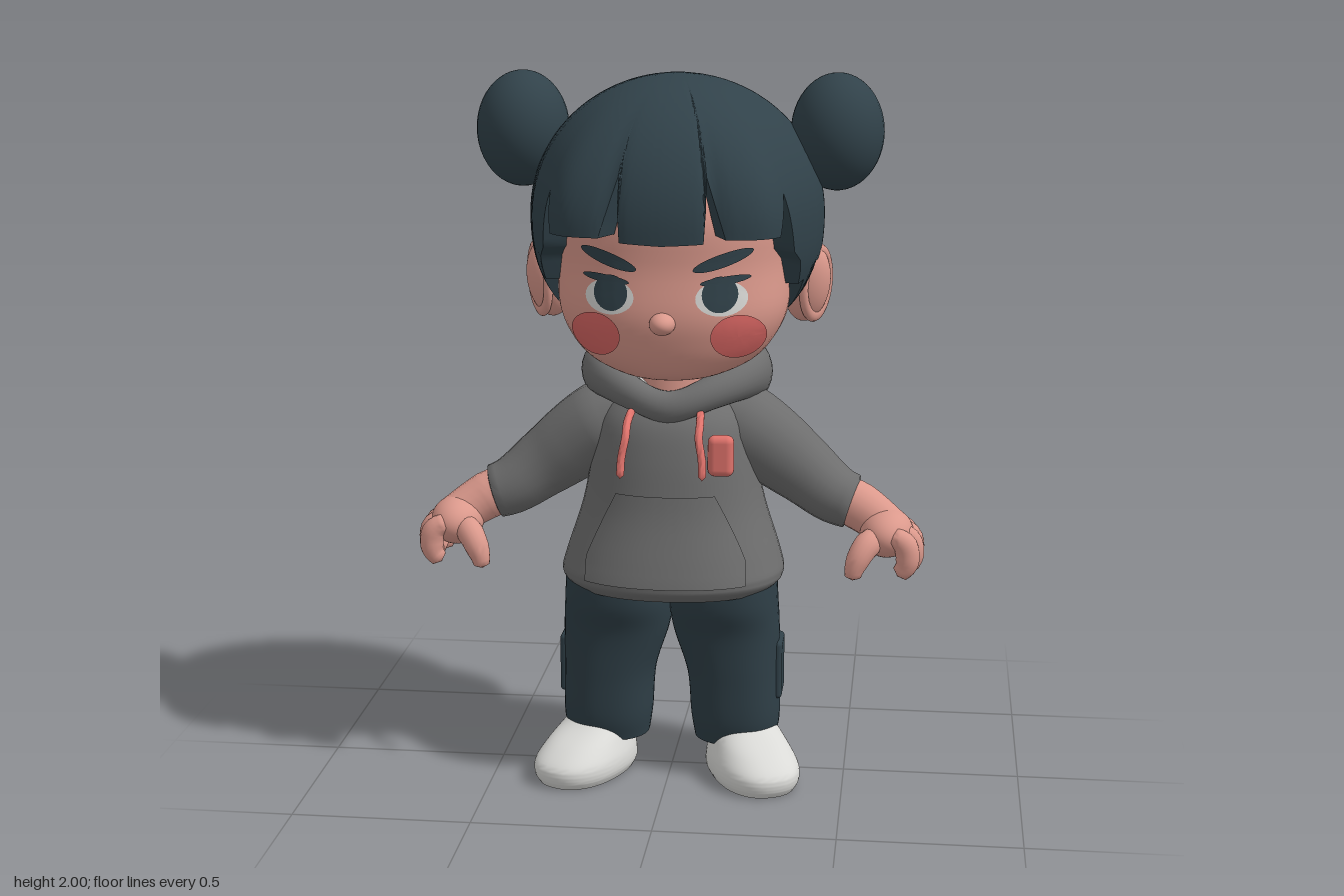
import * as THREE from 'three';
import { toCreasedNormals } from 'three/addons/utils/BufferGeometryUtils.js';
import { RoundedBoxGeometry } from 'three/addons/geometries/RoundedBoxGeometry.js';

const material = (name, color) => {
  const m = new THREE.MeshStandardMaterial({ color });
  m.name = name;
  return m;
};

// Surface closed around y: f(angle, v) returns a point, v rising from 0 to 1
function grid(nu, nv, f) {
  const pos = [], idx = [];
  for (let i = 0; i <= nv; i++)
    for (let j = 0; j < nu; j++) pos.push(...f((j / nu) * Math.PI * 2, i / nv, i));
  for (let i = 0; i < nv; i++)
    for (let j = 0; j < nu; j++) {
      const k = (j + 1) % nu, a = i * nu + j, b = i * nu + k, c = a + nu, d = b + nu;
      idx.push(a, b, d, a, d, c);
    }
  const g = new THREE.BufferGeometry();
  g.setAttribute('position', new THREE.Float32BufferAttribute(pos, 3));
  g.setIndex(idx);
  return toCreasedNormals(g, 1.0);
}

const power = (x, n) => Math.sign(x) * Math.pow(Math.abs(x), n);

// Smooth stack of rings [y, centreX, halfWidth, frontZ, backZ], closed at both ends
function loft(rows, roundness = 2, nv = 30) {
  const spline = new THREE.CubicInterpolant(rows.map((_, i) => i), rows.flat(), 5);
  return grid(48, nv + 2, (u, v, i) => {
    const t = THREE.MathUtils.clamp((i - 1) / nv, 0, 1) * (rows.length - 1);
    const [y, cx, rx, zf, zb] = spline.evaluate(t);
    const k = i === 0 || i === nv + 2 ? 0 : 1, e = 2 / roundness;
    return [cx + k * rx * power(Math.sin(u), e), y, (zf + zb) / 2 + k * ((zf - zb) / 2) * power(Math.cos(u), e)];
  });
}

// Tube along points, with a radius that changes along its length
function sweep(points, radii, n = 24) {
  const m = 18, curve = new THREE.CatmullRomCurve3(points.map(p => new THREE.Vector3(...p)));
  const g = new THREE.TubeGeometry(curve, n, 1, m), p = g.attributes.position, v = new THREE.Vector3();
  for (let i = 0; i <= n; i++) {
    const c = curve.getPointAt(i / n), t = (i / n) * (radii.length - 1);
    const a = Math.min(Math.floor(t), radii.length - 2);
    const r = i === 0 || i === n ? 0 : THREE.MathUtils.lerp(radii[a], radii[a + 1], t - a);
    for (let j = 0; j <= m; j++) {
      const k = i * (m + 1) + j;
      v.fromBufferAttribute(p, k).sub(c).multiplyScalar(r).add(c);
      p.setXYZ(k, v.x, v.y, v.z);
    }
  }
  return toCreasedNormals(g, 1.2);
}

// Lay a flat patch on the front of a mesh
function drape(g, target, offset) {
  const p = g.attributes.position, ray = new THREE.Raycaster();
  for (let i = 0; i < p.count; i++) {
    ray.set(new THREE.Vector3(p.getX(i), p.getY(i), 2), new THREE.Vector3(0, 0, -1));
    const hit = ray.intersectObject(target)[0];
    p.setZ(i, (hit ? hit.point.z : 0) + offset);
  }
  g.computeVertexNormals();
  return g;
}

const oval = (x, y, rx, ry, tilt = 0) =>
  new THREE.RingGeometry(0.0001, 1, 32, 5).scale(rx, ry, 1).rotateZ(tilt).translate(x, y, 0);

export function createModel() {
  const model = new THREE.Group();
  const hair = material('dark slate', 0x31424a), skin = material('skin', 0xdb998c);
  const grey = material('hoodie grey', 0x6e6e6e), white = material('off white', 0xdadad7);
  const blush = material('blush', 0xdc6865), coral = material('coral', 0xe0736c);
  const slate = material('trouser slate', 0x2f3f47);
  const add = (name, geometry, mat, x = 0, y = 0, z = 0) => {
    const mesh = new THREE.Mesh(geometry, mat);
    mesh.name = name;
    mesh.position.set(x, y, z);
    model.add(mesh);
    return mesh;
  };
  const ball = (rx, ry, rz) => new THREE.SphereGeometry(1, 32, 24).scale(rx, ry, rz);
  const HX = 0.015; // the head sits slightly off centre

  // Head, nose and neck
  const head = add('head', loft([
    [1.185, HX, 0.06, 0.19, 0.02], [1.2, HX, 0.14, 0.25, -0.04], [1.24, HX, 0.225, 0.285, -0.08],
    [1.3, HX, 0.28, 0.31, -0.12], [1.38, HX, 0.315, 0.325, -0.17], [1.5, HX, 0.325, 0.315, -0.25],
    [1.65, HX, 0.33, 0.31, -0.3], [1.8, HX, 0.24, 0.22, -0.24], [1.87, HX, 0.1, 0.1, -0.1]], 2.2, 40), skin);
  head.updateMatrixWorld();
  add('nose', ball(0.035, 0.03, 0.045), skin, 0.01, 1.365, 0.325);
  add('neck', new THREE.CylinderGeometry(0.11, 0.12, 0.22, 32), skin, 0.01, 1.14, 0.02);

  // Hair cap: the lower edge follows [degrees from the front, height]
  const edge = [[0, 1.585], [16, 1.59], [18, 1.76], [24, 1.6], [45, 1.6], [49, 1.71], [56, 1.55], [62, 1.52],
    [66, 1.45], [70, 1.46], [74, 1.37], [80, 1.5], [100, 1.52], [104, 1.4], [114, 1.32], [125, 1.29], [180, 1.285]];
  const edgeAt = d => {
    const k = Math.max(1, edge.findIndex(e => e[0] >= d - 1e-6)), [a, ya] = edge[k - 1], [b, yb] = edge[k];
    return THREE.MathUtils.mapLinear(d, a, b, ya, yb);
  };
  const bump = (d, c, w) => Math.exp(-(((d - c) / w) ** 2));
  add('hair', grid(360, 30, (u, v, i) => {
    const d = THREE.MathUtils.radToDeg(Math.min(u, Math.PI * 2 - u)), yb = edgeAt(d);
    const t0 = (yb - 1.62) / (yb > 1.62 ? 0.38 : 0.36);
    const phi = Math.acos(t0) * (1 - Math.max(0, i - 1) / 29), c = Math.cos(phi);
    let r = c > 0 ? Math.sin(phi) : Math.pow(1 - Math.pow(-c, 2.4), 1 / 2.4);
    r *= 1 + r ** 4 * (0.09 * bump(d, 38, 13) - 0.03 * bump(d, 20, 4));
    if (i === 0) r *= 0.8;
    return [HX + 0.405 * r * Math.sin(u), 1.62 + c * (c > 0 ? 0.38 : 0.36), 0.41 * r * Math.cos(u)];
  }), hair);

  // Flat face details
  const onFace = (name, geometry, mat, offset) => add(name, drape(geometry, head, offset), mat);
  for (const s of [-1, 1]) {
    const side = s > 0 ? 'left' : 'right', ex = HX + s * 0.15;
    onFace(side + 'EyeWhite', oval(ex, 1.432, 0.068, 0.047), white, 0.003);
    onFace(side + 'Iris', oval(ex - s * 0.004, 1.443, 0.047, 0.048), hair, 0.006);
    onFace(side + 'Lash', oval(ex + s * 0.01, 1.48, 0.066, 0.011, s * 0.12), hair, 0.008);
    onFace(side + 'Brow', oval(ex + s * 0.003, 1.533, 0.082, 0.018, s * 0.32), hair, 0.009);
    onFace(side + 'Blush', oval(HX + s * 0.193, 1.325, 0.072, 0.062), blush, 0.005);

    // Ear with a raised rim, and hair bun
    const ear = add(side + 'Ear', ball(0.065, 0.11, 0.055), skin, HX + s * 0.36, 1.43, 0.005);
    ear.rotation.set(0.12, s * 0.35, -s * 0.12);
    const rim = add(side + 'EarRim', new THREE.TorusGeometry(0.058, 0.013, 10, 32).scale(1, 1.55, 1),
      skin, HX + s * 0.385, 1.43, 0.012);
    rim.rotation.set(0.1, s * 1.0, -s * 0.1);
    add(side + 'Bun', ball(0.128, 0.16, 0.145), hair, HX + s * 0.435, 1.84, -0.04);

    // Sleeve, forearm and hand
    add(side + 'Sleeve', sweep([[s * 0.08, 1.05, -0.03], [s * 0.2, 1.01, -0.03], [s * 0.36, 0.895, -0.03],
      [s * 0.46, 0.825, -0.005], [s * 0.53, 0.8, 0.005]], [0.09, 0.12, 0.108, 0.09, 0.075]), grey);
    add(side + 'Forearm', sweep([[s * 0.42, 0.85, -0.01], [s * 0.54, 0.79, 0.01], [s * 0.63, 0.735, 0.05]],
      [0.06, 0.068, 0.058]), skin);
    add(side + 'Palm', ball(0.075, 0.068, 0.1), skin, s * 0.61, 0.735, 0.055);
    for (let f = 0; f < 4; f++) {
      const z = -0.02 + f * 0.05, out = f === 0 || f === 3 ? -0.012 : 0;
      add(side + 'Finger' + (f + 1), sweep([[s * 0.62, 0.75, z], [s * (0.675 + out), 0.72, z],
        [s * (0.68 + out), 0.665, z], [s * (0.655 + out), 0.63, z]], [0.025, 0.034, 0.033, 0.022], 14), skin);
    }
    add(side + 'Thumb', sweep([[s * 0.59, 0.74, 0.09], [s * 0.55, 0.71, 0.145], [s * 0.525, 0.66, 0.165],
      [s * 0.52, 0.625, 0.165]], [0.03, 0.038, 0.033, 0.02], 14), skin);

    // Trouser leg with side pocket
    add(side + 'Leg', loft([[0.1, s * 0.185, 0.118, 0.105, -0.125], [0.17, s * 0.185, 0.128, 0.125, -0.13],
      [0.3, s * 0.178, 0.132, 0.135, -0.13], [0.43, s * 0.158, 0.152, 0.15, -0.14],
      [0.52, s * 0.15, 0.155, 0.18, -0.16], [0.62, s * 0.15, 0.15, 0.19, -0.17]], 2.3), slate);
    add(side + 'Pocket', new RoundedBoxGeometry(0.035, 0.17, 0.12, 3, 0.012), slate, s * 0.303, 0.31, -0.01);

    // Shoe, turned outwards
    const shoe = add(side + 'Shoe', loft([[0, 0, 0.108, 0.17, -0.17], [0.025, 0, 0.12, 0.184, -0.182],
      [0.06, 0, 0.119, 0.18, -0.18], [0.1, 0, 0.105, 0.125, -0.178], [0.14, 0, 0.088, 0.04, -0.17],
      [0.17, 0, 0.07, 0, -0.15]], 2.3), white, s * 0.24, 0, 0.08);
    shoe.rotation.y = s * 0.43;

    // Drawstring
    add(side + 'Drawstring', sweep([[s * 0.095, 1.09, 0.15], [s * 0.1, 1.065, 0.215], [s * 0.1, 1.035, 0.248],
      [s * 0.11, 0.98, 0.262], [s * 0.112, 0.925, 0.275]], [0.011, 0.011], 20), coral);
  }

  // Hoodie body
  const body = add('hoodieBody', loft([[0.565, 0.005, 0.285, 0.235, -0.2], [0.6, 0.005, 0.315, 0.262, -0.235],
    [0.66, 0.005, 0.303, 0.252, -0.25], [0.8, 0.005, 0.258, 0.218, -0.237], [0.95, 0.005, 0.228, 0.2, -0.212],
    [1.05, 0.005, 0.205, 0.175, -0.2], [1.12, 0.005, 0.15, 0.12, -0.17]], 2.2), grey);
  body.updateMatrixWorld();

  // Front pouch, narrower at the top
  const pouch = new THREE.PlaneGeometry(1, 0.25, 24, 14).translate(0.005, 0.735, 0), pp = pouch.attributes.position;
  for (let i = 0; i < pp.count; i++) {
    const h = (pp.getY(i) - 0.61) / 0.25;
    pp.setX(i, pp.getX(i) * (0.45 - 0.24 * Math.max(0, h - 0.25) ** 1.1));
  }
  add('pouch', drape(pouch, body, 0.008), grey);
  add('chestTag', new RoundedBoxGeometry(0.072, 0.115, 0.045, 4, 0.02), coral, 0.155, 0.975, 0.185);

  // Folded hood, thin at the front and full at the back, with a pale lining
  const hoodRing = u => {
    const b = (1 - Math.cos(u)) / 2, d = Math.min(u, Math.PI * 2 - u);
    return { b, rr: 0.04 + 0.06 * b, rv: 0.045 + 0.095 * b ** 1.3, y: 1.135 + 0.01 * b - 0.035 * bump(d, 0, 0.45) + 0.025 * bump(d, 1.3, 0.6) };
  };
  const hoodAt = (u, radial, up, size) => {
    const { rr, rv, y } = hoodRing(u), k = 0.2 + radial * rr * size;
    return [0.005 + Math.sin(u) * k, y + up * rv * size, -0.05 + Math.cos(u) * (k + 0.002)];
  };
  add('hood', grid(64, 24, (u, v) => {
    const w = (v * 2 - 1) * Math.PI;
    return hoodAt(u, Math.cos(w), Math.sin(w), 1);
  }), grey);
  add('hoodLining', grid(64, 10, (u, v) => {
    const w = (v * 2 - 1) * Math.PI, [x, y, z] = hoodAt(u, -0.85, 0.4, 1);
    const r = 0.018 * Math.cos(w);
    return [x + r * Math.sin(u), y + 0.022 * Math.sin(w), z + r * Math.cos(u)];
  }), white);
  return model;
}
